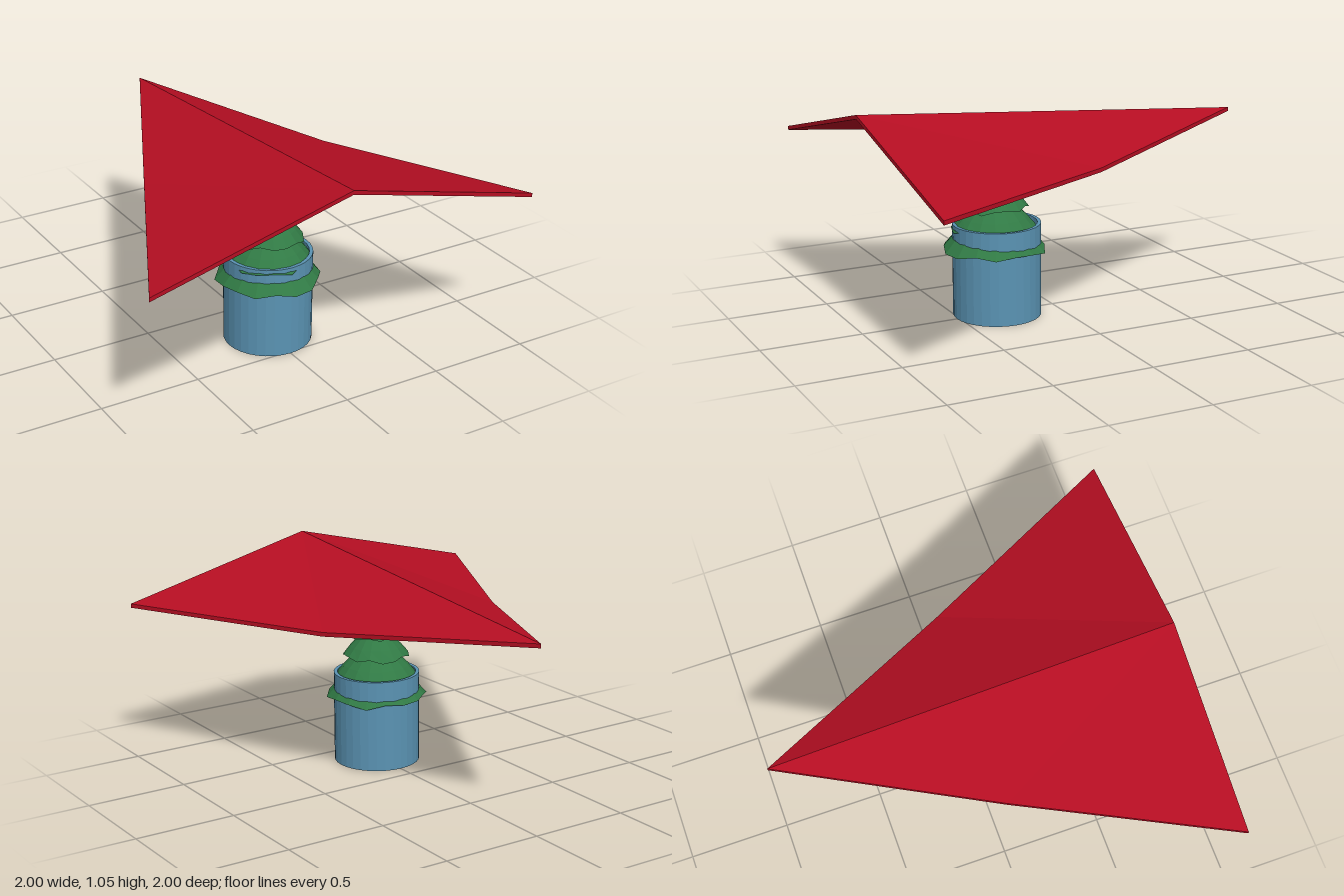
import * as THREE from 'three';

const paint = (color) => new THREE.MeshStandardMaterial({ color, flatShading: true });

function part(name, geometry, material) {
  const mesh = new THREE.Mesh(geometry, material);
  mesh.name = name;
  return mesh;
}

// Folded delta wing: a thin sheet with a raised centre crease
function wingGeometry(thickness) {
  const outline = [
    [0, 0.9, -1], [-0.5, 0.804, 0], [-1, 0.804, 1],
    [0, 1.053, 1], [1, 0.804, 1], [0.5, 0.804, 0],
  ];
  const n = outline.length;
  const positions = [
    ...outline,
    ...outline.map(([x, y, z]) => [x, y - thickness, z]),
  ].flat();
  const index = [];
  for (const [a, b, c] of [[0, 1, 3], [1, 2, 3], [0, 3, 5], [3, 4, 5]]) {
    index.push(a, b, c, n + a, n + c, n + b);
  }
  for (let i = 0; i < n; i++) {
    const j = (i + 1) % n;
    index.push(n + i, n + j, j, n + i, j, i);
  }
  const g = new THREE.BufferGeometry();
  g.setAttribute('position', new THREE.Float32BufferAttribute(positions, 3));
  g.setIndex(index);
  const flat = g.toNonIndexed();
  flat.computeVertexNormals();
  return flat;
}

// One layer of branches: a cone whose rim ripples up and down
function tierGeometry(radius, rimY, topY, phase) {
  const sides = 16;
  const height = topY - rimY;
  const profile = [
    [0, rimY + 0.06], [radius * 0.8, rimY + 0.02], [radius, rimY],
    [radius * 0.78, rimY + height * 0.26], [0, topY],
  ].map(([x, y]) => new THREE.Vector2(x, y));
  const g = new THREE.LatheGeometry(profile, sides);
  const p = g.attributes.position;
  for (let v = 0; v < p.count; v++) {
    const ring = v % profile.length;
    if (ring !== 1 && ring !== 2) continue;
    const side = Math.floor(v / profile.length) % sides;
    const angle = (side / sides) * Math.PI * 2;
    const wave = Math.sin(angle * 6 + phase) * 0.7 + Math.sin(angle * 3 + phase * 2) * 0.3;
    const spread = 1 + 0.04 * wave;
    p.setXYZ(v, p.getX(v) * spread, p.getY(v) - 0.013 * wave, p.getZ(v) * spread);
  }
  g.computeVertexNormals();
  return g;
}

export function createModel() {
  const model = new THREE.Group();
  model.name = 'treeUnderWing';

  model.add(part('wing', wingGeometry(0.02), paint(0xb50e22)));

  // Open round pot with a thin wall
  const potProfile = [
    [0, 0], [0.215, 0], [0.215, 0.46], [0.197, 0.46], [0.197, 0.02], [0, 0.02],
  ].map(([x, y]) => new THREE.Vector2(x, y));
  const pot = part('pot', new THREE.LatheGeometry(potProfile, 32), paint(0x5a93b3));
  pot.position.set(0, 0, 0.3);
  model.add(pot);

  // Tree of four stacked tiers; the lowest spreads through the pot wall
  const tree = new THREE.Group();
  tree.name = 'tree';
  tree.position.set(-0.006, 0, 0.312);
  const green = paint(0x317a45);
  const tiers = [
    [0.25, 0.338, 0.58, 0.4],
    [0.208, 0.437, 0.65, 1.7],
    [0.166, 0.545, 0.72, 2.9],
    [0.123, 0.645, 0.805, 4.3],
  ];
  tiers.forEach((t, i) => tree.add(part(`branchTier${i + 1}`, tierGeometry(...t), green)));
  model.add(tree);

  return model;
}
